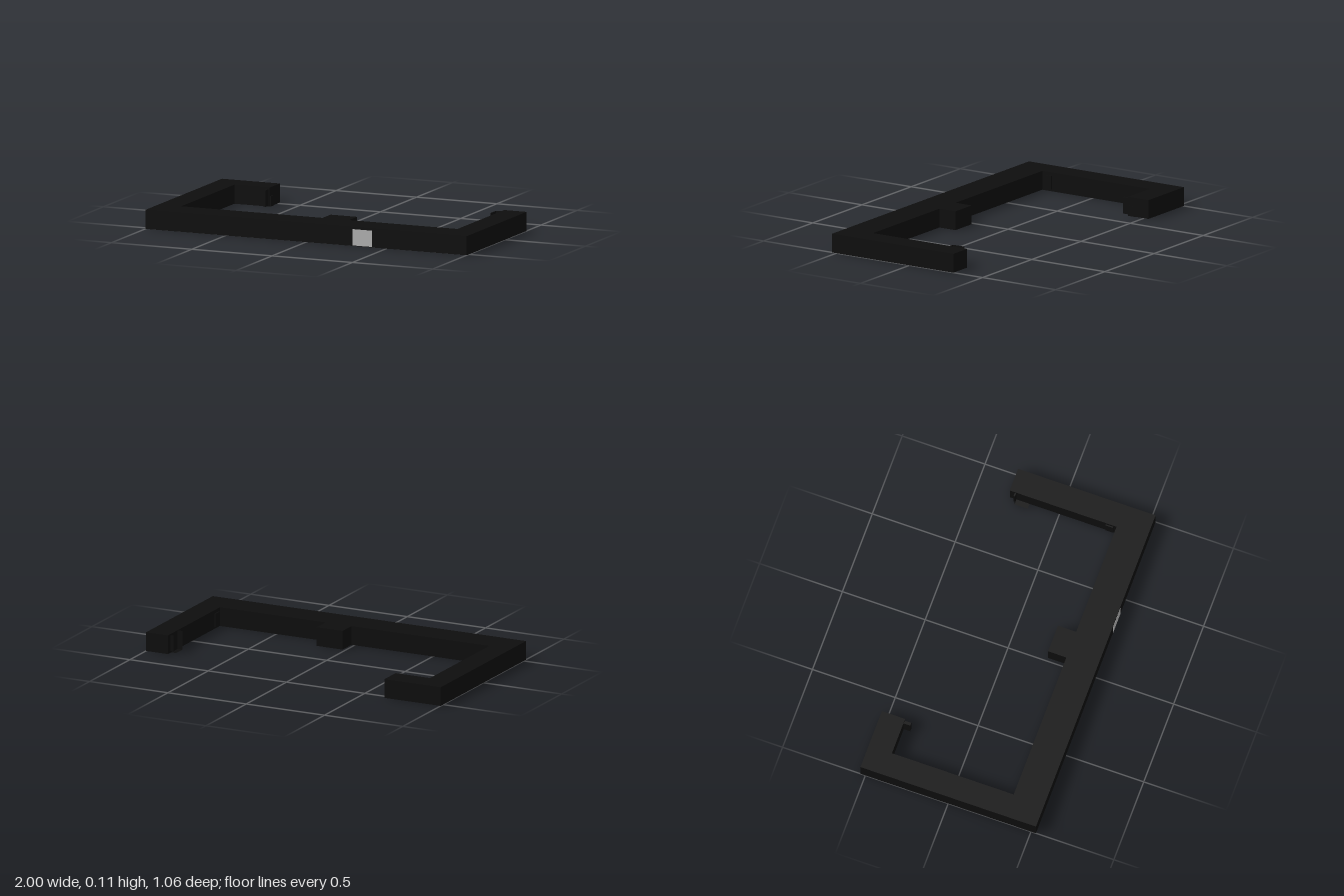
import * as THREE from 'three';

const H = 0.11; // height of the counter run

export function createModel() {
  const model = new THREE.Group();
  const black = new THREE.MeshStandardMaterial({ color: 0x0d0d0d });
  black.name = 'black';
  const grey = new THREE.MeshStandardMaterial({ color: 0xb4b4b4 });
  grey.name = 'light grey';

  // box given by its minimum and maximum corners
  const block = (name, x0, x1, y0, y1, z0, z1, material = black) => {
    const mesh = new THREE.Mesh(new THREE.BoxGeometry(x1 - x0, y1 - y0, z1 - z0), material);
    mesh.position.set((x0 + x1) / 2, (y0 + y1) / 2, (z0 + z1) / 2);
    mesh.name = name;
    model.add(mesh);
  };

  // open frame: long front bar, two side arms and a hooked end, drawn as (x, -z)
  const plan = [
    [-1, 0.53], [1, 0.53], [1, -0.3], [0.86, -0.3], [0.86, 0.345],
    [-0.86, 0.345], [-0.86, -0.39], [-0.64, -0.39], [-0.64, -0.53], [-1, -0.53],
  ];
  const outline = new THREE.Shape(plan.map(([x, z]) => new THREE.Vector2(x, -z)));
  const frameGeometry = new THREE.ExtrudeGeometry(outline, { depth: H, bevelEnabled: false });
  frameGeometry.rotateX(-Math.PI / 2);
  const frame = new THREE.Mesh(frameGeometry, black);
  frame.name = 'frame';
  model.add(frame);

  // block behind the middle of the front bar, and the plate on its face
  block('middleBlock', 0.02, 0.185, 0, H, 0.235, 0.346);
  block('frontPlate', 0.29, 0.41, 0.003, 0.097, 0.528, 0.531, grey);

  // catch on the short arm
  block('catch', 0.828, 0.861, 0, H, -0.18, -0.26);
  block('catchStep', 0.84, 0.861, 0.01, 0.1, -0.27, -0.26);

  // end plate and pin on the hooked end
  block('endPlate', -0.641, -0.635, 0, 0.06, -0.44, -0.395);
  block('pin', -0.665, -0.647, 0.005, 0.1, -0.391, -0.35);

  // small tabs in the inner corners
  for (const side of [-1, 1]) {
    const a = side * 0.853, b = side * 0.861;
    block(side < 0 ? 'rightTab' : 'leftTab', Math.min(a, b), Math.max(a, b), 0.01, 0.09, 0.28, 0.325);
  }
  return model;
}
